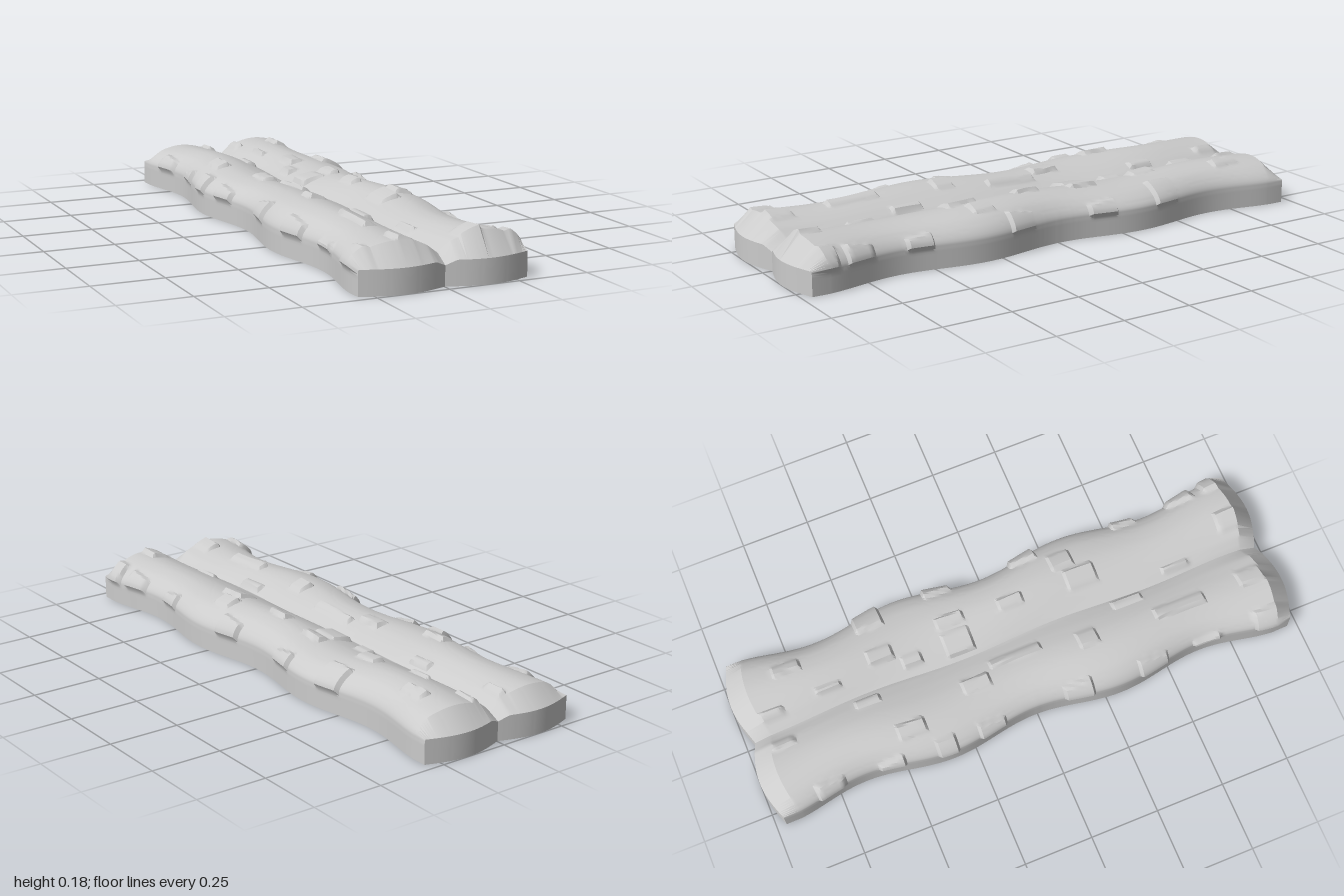
import * as THREE from 'three';
import { toCreasedNormals } from 'three/addons/utils/BufferGeometryUtils.js';

// Half cross-section from outer foot to centre groove: [fraction of half width, height]
const SECTION = [[1, 0], [1, 0.04], [1, 0.08], [0.965, 0.102], [0.89, 0.123], [0.77, 0.142], [0.57, 0.154],
  [0.38, 0.15], [0.2, 0.134], [0.08, 0.119], [0, 0.108]];

// Raised flakes: [x0, x1, z0, z1], in two lists to keep them readable
const INNER = [
  [-0.08, -0.04, -0.92, -0.83], [0.03, 0.07, -0.92, -0.83], [0.05, 0.08, -0.71, -0.61],
  [-0.05, -0.01, -0.6, -0.5], [0.08, 0.14, -0.5, -0.4], [-0.22, -0.16, -0.5, -0.39],
  [0.03, 0.08, -0.39, -0.31], [-0.15, -0.09, -0.23, -0.12], [0.01, 0.1, -0.23, -0.12],
  [0.11, 0.16, -0.23, -0.12], [-0.09, -0.05, -0.11, 0.09], [0.09, 0.14, 0, 0.1],
  [-0.15, -0.08, 0.21, 0.29], [0.07, 0.15, 0.26, 0.38], [0.16, 0.23, 0.23, 0.32],
  [-0.05, -0.01, 0.38, 0.5], [-0.15, -0.1, 0.5, 0.7], [0.01, 0.04, 0.6, 0.71],
  [-0.15, -0.08, 0.83, 0.93], [0.07, 0.15, 0.85, 0.94], [0.16, 0.21, -0.83, -0.72],
];
const OUTER = [
  [-0.4, -0.24, -0.83, -0.72], [-0.4, -0.25, -0.6, -0.5], [-0.4, -0.25, -0.39, -0.31],
  [-0.4, -0.25, -0.23, -0.12], [-0.4, -0.24, 0.1, 0.21], [-0.4, -0.25, 0.38, 0.5],
  [-0.4, -0.25, 0.6, 0.71], [-0.4, -0.24, 0.83, 0.94], [0.21, 0.4, -0.5, -0.39],
  [0.25, 0.4, -0.23, -0.12], [0.24, 0.4, 0.1, 0.21], [0.24, 0.4, 0.5, 0.6],
  [0.24, 0.4, 0.72, 0.83], [0.24, 0.4, 0.86, 0.94],
];

const clamp = THREE.MathUtils.clamp;
const edge = (v, a, b) => clamp(Math.min(v - a, b - v) / 0.01, 0, 1);

// Flake height at a surface point; inner flakes are wedges rising to one side
function flake(x, y, z) {
  let h = 0;
  INNER.forEach(([a, b, c, d], i) => {
    const k = (x - a) / (b - a);
    const ramp = 0.35 + 0.65 * (i % 2 ? k : 1 - k);
    h = Math.max(h, 0.018 * ramp * edge(x, a, b) * edge(z, c, d));
  });
  for (const [a, b, c, d] of OUTER) {
    const band = clamp((y - 0.07) / 0.01, 0, 1);
    h = Math.max(h, 0.015 * band * edge(x, a, b) * edge(z, c, d));
  }
  return h;
}

const halfWidth = (z) => 0.281 + 0.02 * Math.cos((2 * Math.PI * (z - 0.31)) / 0.64);
const swell = (z, side) => 1 + 0.045 * Math.cos((z - 0.24) * 7 + side * 0.5) + 0.025 * z;

function slabGeometry() {
  const half = new THREE.SplineCurve(SECTION.map(([r, y]) => new THREE.Vector2(r * 0.29, y)))
    .getSpacedPoints(46).map((p) => [p.x / 0.29, Math.max(p.y, 0)]);
  const profile = [
    ...half.map(([r, y]) => [-r, y]),
    ...half.slice(0, -1).reverse(),
  ];

  // Rows: foot of end wall, top of end wall, then the chamfer and the body
  const rows = [[-1, 0], [-1, 0.085]];
  for (let i = 0; i <= 186; i++) rows.push([-0.93 + i * 0.01, 1]);
  rows.push([1, 0.085], [1, 0]);

  const pos = [], index = [], n = profile.length;
  for (const [t, cap] of rows) {
    for (const [r, y0] of profile) {
      const w = halfWidth(t);
      let x = clamp(r, -1, 1) * w;
      const a = Math.abs(r);
      // Ends bulge once for each lobe and dip at the groove
      const end = 0.965 + 0.035 * Math.sin(Math.PI * Math.min(a, 1));
      const z = t * (1 - (1 - end) * t ** 6);
      let y = y0 > 0.08 ? 0.08 + (y0 - 0.08) * (1 + (swell(t, Math.sign(r)) - 1) * 2.2) : y0;
      // Groove wanders slightly and opens towards the ends
      y -= 0.025 * t ** 8 * Math.max(0, 1 - a * 7);
      x += 0.006 * Math.sin(t * 9) * Math.max(0, 1 - a * 2);
      if (cap < 1) y = Math.min(y, cap * (1 - 0.2 * Math.max(0, 1 - a * 8)));
      else {
        const h = flake(x, y, z);
        const out = 1.4 * a ** 5, len = Math.hypot(out, 1);
        x += (Math.sign(r) * out * h) / len;
        y += h / len;
      }
      pos.push(x, y, z);
    }
  }
  for (let j = 0; j < rows.length - 1; j++) {
    for (let i = 0; i < n - 1; i++) {
      const a = j * n + i, b = a + 1, c = a + n, d = c + 1;
      index.push(a, c, b, b, c, d);
    }
  }
  const g = new THREE.BufferGeometry();
  g.setAttribute('position', new THREE.Float32BufferAttribute(pos, 3));
  g.setIndex(index);
  return toCreasedNormals(g, Math.PI / 6);
}

export function createModel() {
  const group = new THREE.Group();
  group.name = 'barkSlab';
  // Hollow two-lobed shell, open underneath
  const shell = new THREE.Mesh(
    slabGeometry(),
    new THREE.MeshStandardMaterial({ color: 0xcccccc, side: THREE.DoubleSide }),
  );
  shell.name = 'flakedShell';
  group.add(shell);
  return group;
}
